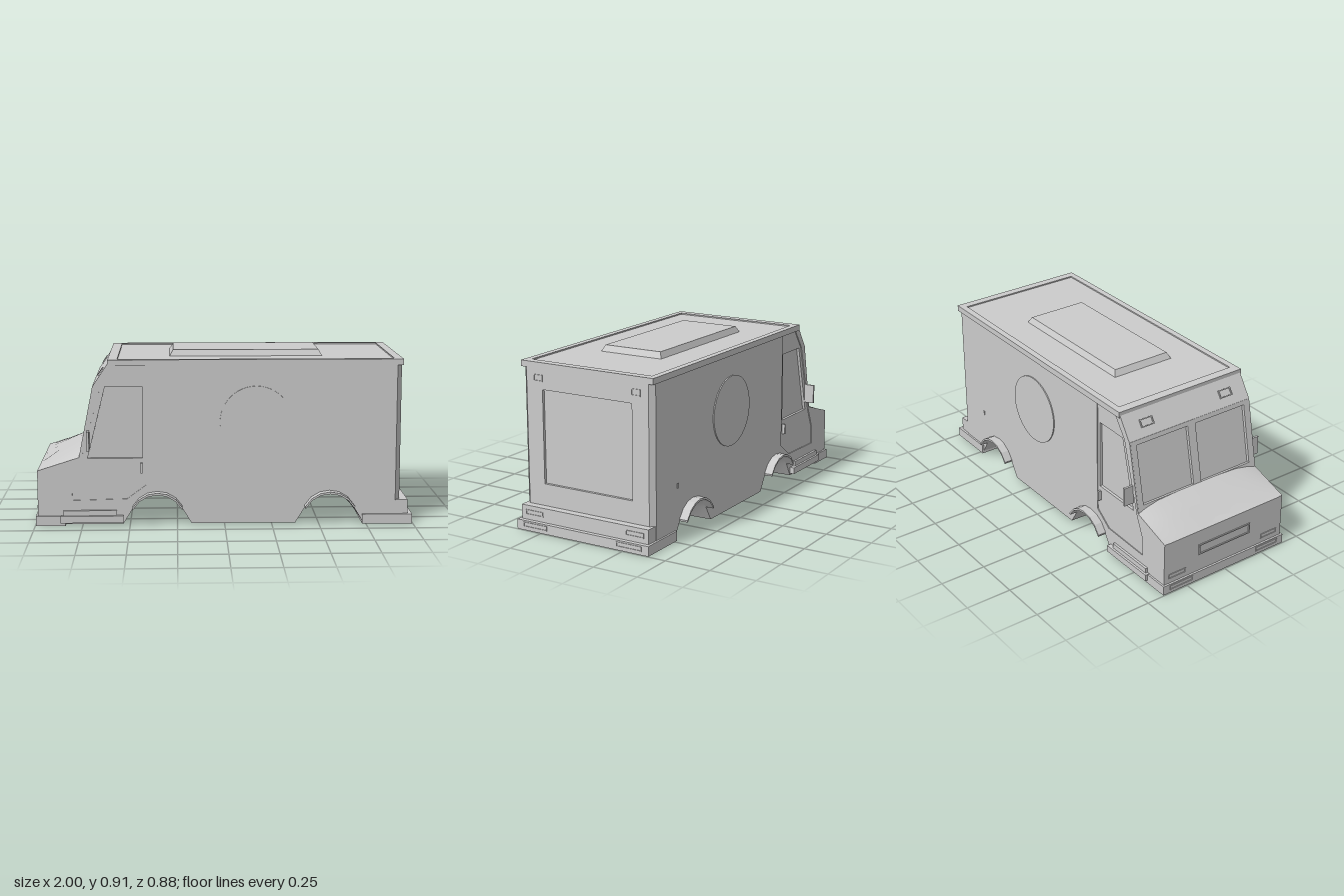
import * as THREE from 'three';

const mat = new THREE.MeshStandardMaterial({ color: 0xcccccc, side: THREE.DoubleSide });
const AX = new THREE.Vector3(1, 0, 0), AY = new THREE.Vector3(0, 1, 0), AZ = new THREE.Vector3(0, 0, 1);
const shapeOf = pts => new THREE.Shape(pts.map(p => new THREE.Vector2(p[0], p[1])));
const rect = (x0, y0, x1, y1) => [[x0, y0], [x1, y0], [x1, y1], [x0, y1]];

// Half-arch offsets around a wheel centre
const ARCH = [[-0.18, 0.008], [-0.13, 0.09], [-0.095, 0.135], [-0.05, 0.162], [0, 0.17],
  [0.05, 0.162], [0.095, 0.135], [0.13, 0.09], [0.18, 0.008]];
const WHEELS = [-0.355, 0.555];
const archAt = cx => ARCH.map(([x, y]) => [cx + x, y]);

export function createModel() {
  const root = new THREE.Group();
  root.name = 'stepVan';
  const add = (name, geo) => {
    const m = new THREE.Mesh(geo, mat);
    m.name = name;
    root.add(m);
    return m;
  };
  const box = (name, x0, x1, y0, y1, z0, z1) => {
    const m = add(name, new THREE.BoxGeometry(x1 - x0, y1 - y0, Math.abs(z1 - z0)));
    m.position.set((x0 + x1) / 2, (y0 + y1) / 2, (z0 + z1) / 2);
    return m;
  };
  // Flat panel with holes, extruded along X x Y from an origin
  const panel = (name, pts, holes, depth, origin = [0, 0, 0], X = AX, Y = AY) => {
    const s = shapeOf(pts);
    holes.forEach(h => s.holes.push(shapeOf(h)));
    const g = new THREE.ExtrudeGeometry(s, { depth, bevelEnabled: false });
    g.applyMatrix4(new THREE.Matrix4().makeBasis(X, Y, X.clone().cross(Y)));
    g.translate(...origin);
    return add(name, g);
  };
  // Surface lofted through rows of points
  const loft = (name, rows) => {
    const n = rows[0].length, idx = [];
    for (let r = 0; r < rows.length - 1; r++)
      for (let c = 0; c < n - 1; c++) {
        const a = r * n + c;
        idx.push(a, a + 1, a + n, a + 1, a + n + 1, a + n);
      }
    const g = new THREE.BufferGeometry();
    g.setAttribute('position', new THREE.Float32BufferAttribute(rows.flat(2), 3));
    g.setIndex(idx);
    g.computeVertexNormals();
    return add(name, g);
  };

  // Inner body, windshield plane set back
  const bottom = [[-0.985, 0.008], ...archAt(WHEELS[0]), ...archAt(WHEELS[1])];
  panel('bodyCore', [...bottom, [0.915, 0.008], [0.915, 0.86], [-0.61, 0.86], [-0.69, 0.74],
    [-0.675, 0.735], [-0.75, 0.36], [-0.985, 0.293]], [], 0.74, [0, 0, -0.37]);

  // Outer side skins with door opening, door with window recess, and side details
  const door = [[-0.805, 0.135], [-0.515, 0.142], [-0.415, 0.215], [-0.415, 0.848], [-0.57, 0.848],
    [-0.648, 0.74], [-0.755, 0.35], [-0.8, 0.245]];
  const win = [[-0.72, 0.36], [-0.432, 0.36], [-0.432, 0.74], [-0.625, 0.74]];
  const skin = [...bottom, [0.905, 0.008], [0.905, 0.86], [-0.61, 0.86], [-0.69, 0.74],
    [-0.765, 0.365], [-0.985, 0.295]];
  for (const s of [1, -1]) {
    const side = s > 0 ? 'left' : 'right';
    const z = (inner, depth) => [0, 0, s > 0 ? inner : -inner - depth];
    panel(side + 'SideSkin', skin, [door], 0.022, z(0.368, 0.022));
    panel(side + 'Door', door, [win], 0.017, z(0.368, 0.017));
    const disc = add(side + 'RoundPanel', new THREE.CylinderGeometry(0.19, 0.19, 0.01, 48));
    disc.rotation.x = Math.PI / 2;
    disc.position.set(0.165, 0.55, s * 0.391);
    box(side + 'DoorHandle', -0.443, -0.432, 0.28, 0.335, s * 0.38, s * 0.403);
    box(side + 'Mirror', -0.721, -0.709, 0.405, 0.51, s * 0.385, s * 0.442);
    box(side + 'LowerStep', -0.865, -0.535, 0.018, 0.055, s * 0.38, s * 0.415);
    box(side + 'UpperStep', -0.85, -0.57, 0.055, 0.082, s * 0.38, s * 0.403);
    box(side + 'FuelLatch', 0.7, 0.712, 0.27, 0.295, s * 0.385, s * 0.394);
    // Wheel arch lips
    for (const cx of WHEELS) {
      const arc = archAt(cx).slice(1, -1);
      const outer = arc.map(([x, y]) => [cx + (x - cx) * 1.02, y + 0.011]).reverse();
      panel(side + 'ArchLip', [...arc, ...outer], [], 0.055, z(0.382, 0.055));
    }
    // Chamfered rear corner post
    const post = s > 0 ? [[0.9, -0.36], [0.93, -0.365], [0.905, -0.39]] : [[0.9, 0.36], [0.905, 0.39], [0.93, 0.365]];
    panel(side + 'RearCorner', post, [], 0.73, [0, 0.125, 0], AX, AZ.clone().negate());
  }

  // Wheel tunnels, lower toward the middle of the chassis
  for (const cx of WHEELS) {
    const rows = [];
    for (let i = 0; i <= 12; i++) {
      const t = -1 + i / 6;
      const k = 0.78 + 0.22 * Math.pow(Math.abs(t), 3);
      rows.push(ARCH.map(([x, y]) => [cx + x * (0.92 + 0.08 * k), y * k, t * 0.388]));
    }
    loft('wheelTunnel', rows);
  }

  // Crowned hood
  const zs = [-0.39, -0.34, -0.26, -0.13, 0, 0.13, 0.26, 0.34, 0.39];
  loft('hood', [0, 0.1, 0.4, 0.7, 1].map(t => zs.map(z => {
    const crown = 0.036 * (1 - Math.pow(Math.abs(z) / 0.39, 4));
    const dent = 0.012 * Math.max(0, 1 - Math.abs(z) / 0.13) * Math.max(0, 1 - Math.abs(t - 0.1) * 3);
    return [-0.985 + 0.225 * t, 0.295 + t * (0.07 + crown) - (t ? dent : 0), z];
  })));

  // Windshield frame, leaving two recessed panes
  const slope = new THREE.Vector3(0.075, 0.375, 0).normalize();
  panel('windshieldFrame', rect(-0.385, 0, 0.385, 0.385),
    [rect(-0.35, 0.035, -0.025, 0.36), rect(0.025, 0.035, 0.35, 0.36)],
    0.016, [-0.75, 0.362, 0], AZ, slope);

  // Front marker lamps on the sloped header
  const header = new THREE.Vector3(0.08, 0.12, 0).normalize();
  for (const s of [1, -1])
    panel('frontMarker', rect(s * 0.255 - 0.04, -0.022, s * 0.255 + 0.04, 0.022),
      [rect(s * 0.255 - 0.034, -0.016, s * 0.255 + 0.034, 0.016)], 0.007, [-0.65, 0.8, 0], AZ, header);

  // Front grille and bumper
  panel('grille', rect(-0.17, 0.15, 0.17, 0.21), [rect(-0.162, 0.157, 0.162, 0.203)], 0.006, [-0.984, 0, 0], AZ, AY);
  box('frontBumper', -0.996, -0.84, 0, 0.052, -0.4, 0.4);

  // Rear wall frame around the recessed cargo door
  const back = AZ.clone().negate();
  panel('rearFrame', rect(-0.365, 0.12, 0.365, 0.855), [rect(-0.268, 0.245, 0.268, 0.74)], 0.02, [0.91, 0, 0], back, AY);
  box('rearSill', 0.88, 0.972, 0.045, 0.128, -0.387, 0.387);
  box('rearBumper', 0.73, 0.996, 0, 0.052, -0.4, 0.4);

  // Lamps: wall, sill and bumper, mirrored across the centre
  for (const s of [1, -1]) {
    const lamp = (name, x, dir, za, zb, y0, y1) => {
      const [a, b] = [s * za * dir, s * zb * dir].sort((p, q) => p - q);
      panel(name, rect(a, y0, b, y1), [rect(a + 0.005, y0 + 0.005, b - 0.005, y1 - 0.005)],
        0.004, [x, 0, 0], dir > 0 ? AZ : back, AY);
    };
    lamp('rearMarker', 0.93, -1, 0.265, 0.32, 0.78, 0.815);
    lamp('rearSillLamp', 0.972, -1, 0.252, 0.36, 0.078, 0.105);
    lamp('rearBumperLamp', 0.996, -1, 0.212, 0.36, 0.018, 0.044);
    lamp('frontBumperLamp', -0.996, 1, 0.212, 0.36, 0.018, 0.044);
    lamp('frontTurnLamp', -0.985, 1, 0.252, 0.36, 0.078, 0.105);
  }

  // Roof slab, raised rim and tapered hatch
  box('roofSlab', -0.605, 0.93, 0.85, 0.873, -0.39, 0.39);
  panel('roofRim', rect(-0.61, -0.395, 0.935, 0.395), [rect(-0.56, -0.36, 0.89, 0.36)], 0.032,
    [0, 0.848, 0], AX, back);
  const hatch = new THREE.BoxGeometry(0.82, 0.035, 0.37);
  const p = hatch.attributes.position;
  for (let i = 0; i < p.count; i++)
    if (p.getY(i) > 0) p.setXYZ(i, p.getX(i) * 0.95, p.getY(i), p.getZ(i) * 0.91);
  hatch.computeVertexNormals();
  add('roofHatch', hatch).position.set(0.12, 0.888, 0);

  return root;
}
